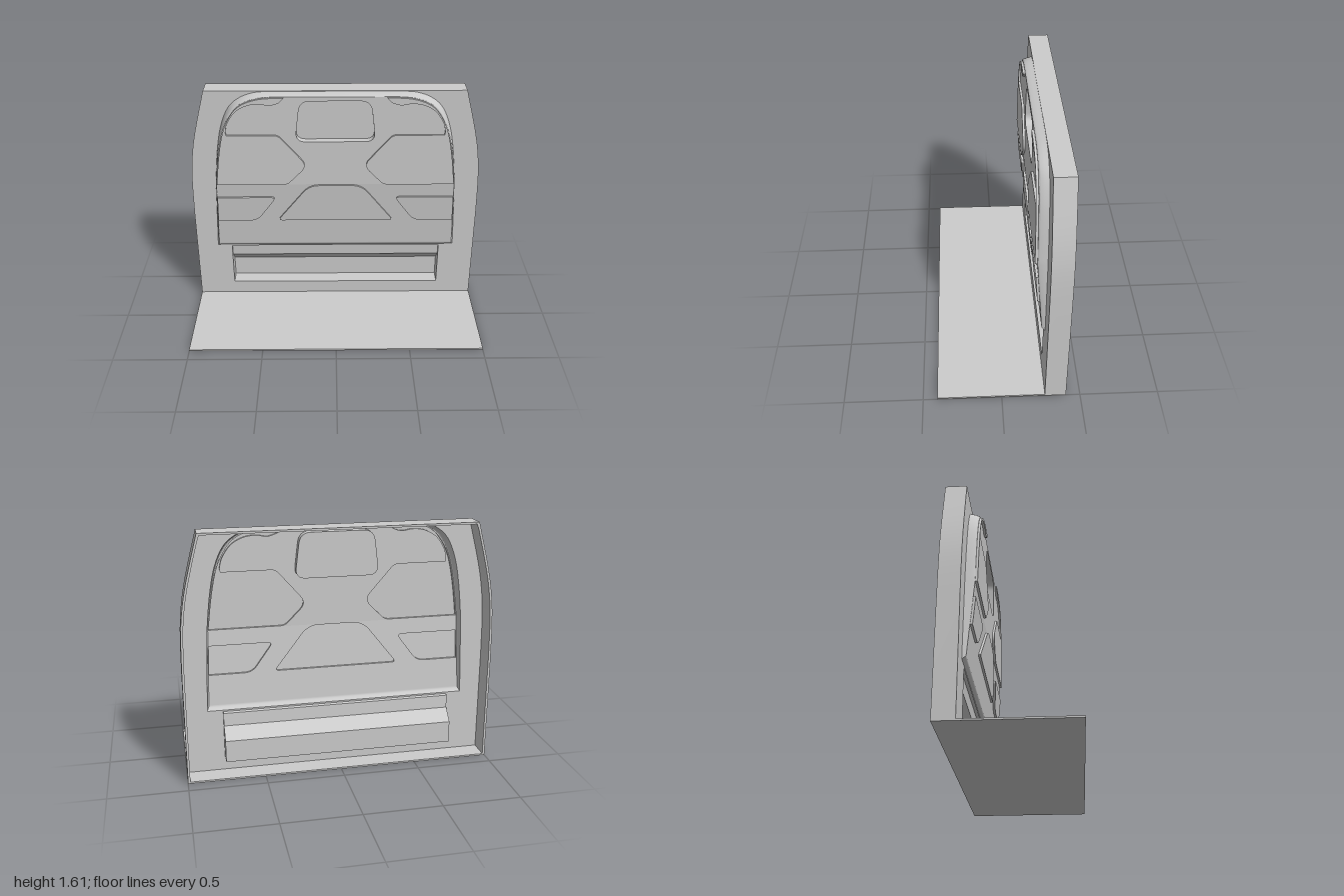
import * as THREE from 'three';
import { toCreasedNormals } from 'three/addons/utils/BufferGeometryUtils.js';

const material = new THREE.MeshStandardMaterial({ color: 0xcccccc, side: THREE.DoubleSide });
const FRONT = -0.275, BACK = -0.41, KINK = 0.95;

// Depth of the bulged panel: upright above the kink, leaning back below it
const panelZ = (y) => -0.215 - Math.max(0, KINK - y) * 0.075;
const mirror = (pts) => pts.map(([x, y, r]) => [-x, y, r]);
const symmetric = (half) => [...half, ...mirror(half).reverse()];

// Closed outline of [x, y, radius] corners, as plain points
function rounded(pts) {
  const out = [];
  pts.forEach(([x, y, r], i) => {
    if (!r) { out.push([x, y]); return; }
    const p = new THREE.Vector2(x, y);
    const toward = (q) => new THREE.Vector2(q[0], q[1]).sub(p).setLength(r).add(p);
    const a = toward(pts[(i + pts.length - 1) % pts.length]);
    const b = toward(pts[(i + 1) % pts.length]);
    new THREE.QuadraticBezierCurve(a, p, b).getPoints(8).forEach((v) => out.push([v.x, v.y]));
  });
  return out;
}

function spline(pts, n) {
  return new THREE.SplineCurve(pts.map((p) => new THREE.Vector2(...p))).getPoints(n).map((v) => [v.x, v.y]);
}

function toShape(pts, holes = []) {
  const vec = (list) => list.map(([x, y]) => new THREE.Vector2(x, y));
  const shape = new THREE.Shape(vec(pts));
  shape.holes = holes.map((h) => new THREE.Path(vec(h)));
  return shape;
}

function add(group, name, geometry) {
  const mesh = new THREE.Mesh(geometry, material);
  mesh.name = name;
  group.add(mesh);
}

// Sheet cut to an outline, its depth set by a rule on y
function sheet(pts, holes, depth) {
  const geo = new THREE.ShapeGeometry(toShape(pts, holes));
  const pos = geo.attributes.position;
  for (let i = 0; i < pos.count; i++) pos.setZ(i, depth(pos.getY(i)));
  geo.computeVertexNormals();
  return geo;
}

// Skin through closed rings of [x, y, z] points
function loft(rings) {
  const n = rings[0].length, index = [];
  for (let r = 0; r < rings.length - 1; r++) {
    for (let i = 0; i < n; i++) {
      const a = r * n + i, b = r * n + (i + 1) % n;
      index.push(a, b, b + n, a, b + n, a + n);
    }
  }
  const geo = new THREE.BufferGeometry();
  geo.setAttribute('position', new THREE.Float32BufferAttribute(rings.flat(2), 3));
  geo.setIndex(index);
  return toCreasedNormals(geo, 0.6);
}

// Raised or sunken panel: lid and the step around it
function pad(group, name, pts, offset) {
  const lift = (dz) => pts.map(([x, y]) => [x, y, panelZ(y) + dz]);
  add(group, name, sheet(pts, [], (y) => panelZ(y) + offset));
  add(group, name + 'Edge', loft([lift(0), lift(offset)]));
}

export function createModel() {
  const group = new THREE.Group();
  group.name = 'partitionWall';

  // Outlines: outer frame, foot of the bulge, and its front edge
  const side = [[1, 0], ...spline([[1, 0.7], [0.995, 0.95], [0.98, 1.13], [0.945, 1.32], [0.87, 1.61]], 16)];
  const frame = symmetric(side);
  const foot = [[0.85, 0.43], ...spline([[0.83, KINK], [0.805, 1.18], [0.77, 1.36], [0.715, 1.49],
    [0.64, 1.56], [0.54, 1.598], [0.43, 1.606]], 28)];
  const upperEdge = spline([[0.82, KINK], [0.79, 1.18], [0.75, 1.36], [0.69, 1.48],
    [0.62, 1.545], [0.52, 1.58], [0.42, 1.59]], 28);
  const edge = [[0.835, 0.46], ...upperEdge];
  const pocket = symmetric([[0.75, 0.105], [0.75, 0.42]]);

  // Frame sheet, open at the back, with a rim around it
  add(group, 'frameSheet', sheet(frame, [symmetric(foot), pocket], () => FRONT));
  const inner = frame.map(([x, y]) => [x - Math.sign(x) * 0.015, Math.min(Math.max(y, 0.011), 1.597)]);
  const rim = new THREE.ExtrudeGeometry(toShape(frame, [inner]), { depth: FRONT - BACK, bevelEnabled: false });
  rim.translate(0, 0, BACK);
  add(group, 'frameRim', toCreasedNormals(rim, 0.5));

  // Floor plate
  const floor = new THREE.BoxGeometry(2, 0.011, 0.82);
  floor.translate(0, 0.0055, 0);
  add(group, 'floorPlate', floor);

  // Curved flank of the bulge
  const footRing = symmetric(foot), edgeRing = symmetric(edge);
  const rings = [0, 0.3, 0.6, 0.85, 1].map((t) => footRing.map(([x, y], i) => {
    const [ex, ey] = edgeRing[i];
    const rise = Math.sin(t * Math.PI / 2);
    return [x + (ex - x) * t, y + (ey - y) * t, FRONT + (panelZ(ey) - FRONT) * rise];
  }));
  add(group, 'bulgeFlank', loft(rings));

  // Side pad: thin strip along the edge, corner lobe at the top, chevron inside
  const sidePad = rounded([
    ...upperEdge.map(([x, y]) => [x - 0.004, Math.max(y - 0.004, KINK + 0.004)]),
    [0.34, 1.586], ...spline([[0.37, 1.553], [0.43, 1.535], [0.5, 1.545], [0.58, 1.535], [0.66, 1.49],
      [0.715, 1.41], [0.732, 1.345]], 20),
    [0.728, 1.322], [0.385, 1.322, 0.03], [0.19, 1.097, 0.06], [0.33, KINK + 0.004, 0.03],
  ]);
  const lowerPad = rounded([[0.826, 0.66], [0.55, 0.66, 0.05], [0.41, 0.85, 0.04], [0.819, 0.85]]);
  const centrePad = rounded(symmetric([[0.405, 0.66, 0.03], [0.18, KINK - 0.004, 0.07]]));
  const windowPad = rounded(symmetric([[0.27, 1.27, 0.07], [0.235, 1.56, 0.07]]));

  // Main faces above and below the kink
  add(group, 'upperFace', sheet(symmetric(upperEdge), [sidePad, mirror(sidePad), windowPad], panelZ));
  add(group, 'lowerFace', sheet(symmetric([[0.835, 0.46], [0.82, KINK]]),
    [lowerPad, mirror(lowerPad), centrePad], panelZ));
  pad(group, 'leftUpperPad', sidePad, 0.015);
  pad(group, 'rightUpperPad', mirror(sidePad), 0.015);
  pad(group, 'leftLowerPad', lowerPad, 0.015);
  pad(group, 'rightLowerPad', mirror(lowerPad), 0.015);
  pad(group, 'centrePad', centrePad, 0.015);
  pad(group, 'windowRecess', windowPad, -0.05);

  // Storage pocket: profile in z and y, swept across, with end walls
  const profile = [[FRONT, 0.42], [-0.295, 0.415], [-0.3, 0.33], [-0.375, 0.255], [-0.375, 0.11], [FRONT, 0.105]];
  const pocketEnd = (x) => profile.map(([z, y]) => [x, y, z]);
  const trough = loft([pocketEnd(-0.75), pocketEnd(0.75)]);
  // drop the last strip, which would close the mouth
  const open = trough.attributes.position.count - 6;
  trough.setDrawRange(0, open);
  const cut = new THREE.BufferGeometry();
  for (const key of ['position', 'normal']) {
    cut.setAttribute(key, new THREE.Float32BufferAttribute(trough.attributes[key].array.slice(0, open * 3), 3));
  }
  add(group, 'pocketTrough', cut);
  for (const [name, x] of [['leftPocketEnd', 0.75], ['rightPocketEnd', -0.75]]) {
    const end = new THREE.ShapeGeometry(toShape(profile));
    end.rotateY(-Math.PI / 2);
    end.translate(x, 0, 0);
    add(group, name, end);
  }
  return group;
}
